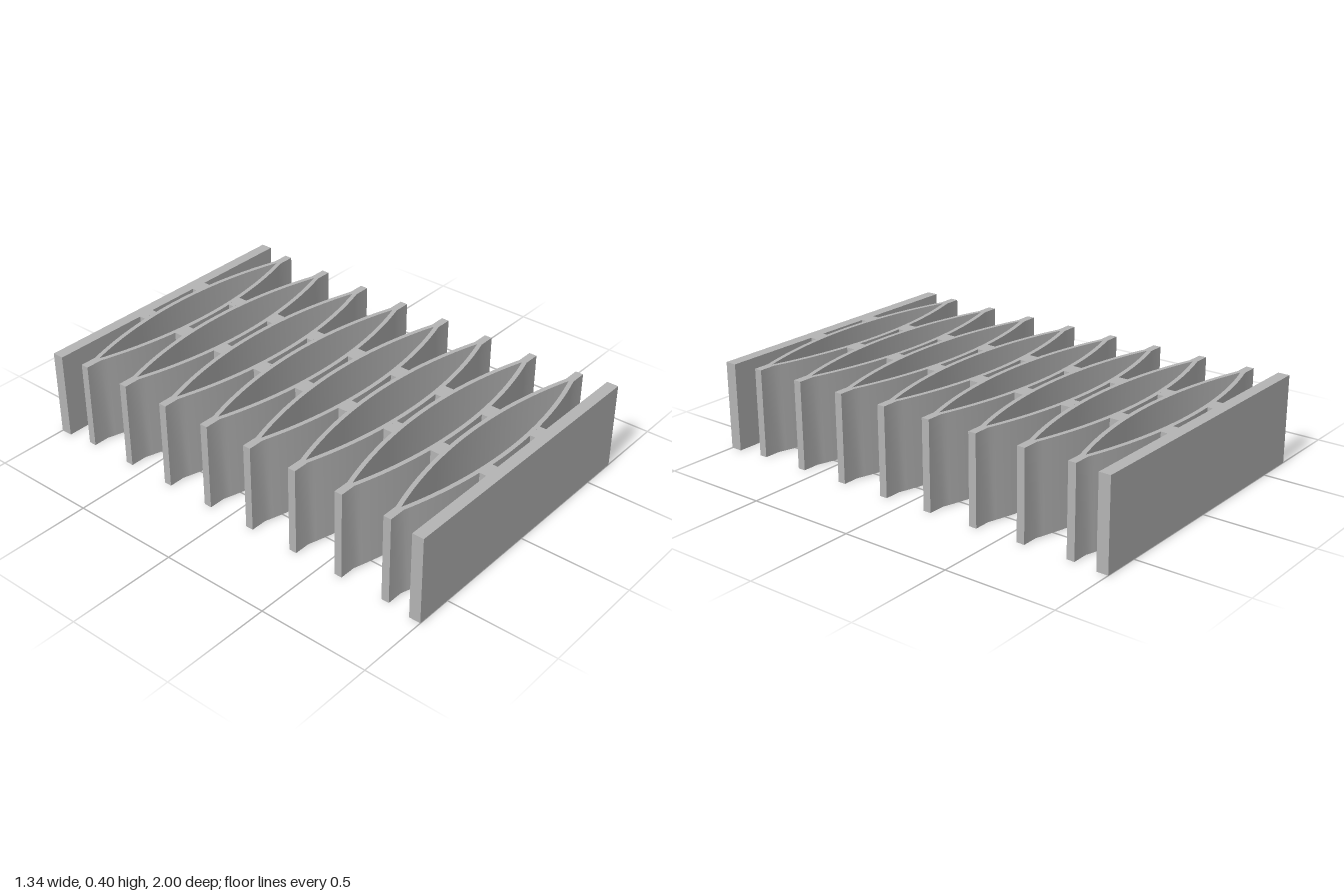
import * as THREE from 'three';
import { toCreasedNormals } from 'three/addons/utils/BufferGeometryUtils.js';

const HEIGHT = 0.4, PITCH = 0.2343, COUNT = 8;
const PLATE_INNER = 0.947;
const R_OUT = 1.934, R_IN = 1.914, ARC_CENTRE = 0.107 - R_OUT;
const TAB_X = 0.655, TAB_HALF = 0.018;

// Half-depth of a leaf face at x
const arcY = (r, x) => ARC_CENTRE + Math.sqrt(r * r - x * x);

// Points along a leaf face from x0 to x1; side = +1 or -1, shifted by offset
function arc(r, x0, x1, side, n, offset = 0) {
  return Array.from({ length: n + 1 }, (_, i) => {
    const x = x0 + (x1 - x0) * i / n;
    return new THREE.Vector2(x, side * arcY(r, x) + offset);
  });
}

// Extrude a plan outline upward from the ground
function extrudeUp(shape) {
  const g = new THREE.ExtrudeGeometry(shape, { depth: HEIGHT, bevelEnabled: false });
  g.rotateX(-Math.PI / 2);
  return toCreasedNormals(g, 0.4);
}

// Lens-shaped spring cell: two bowed leaves joined by end tabs
function springCellGeometry() {
  const v = (x, y) => new THREE.Vector2(x, y);
  const edge = Math.sqrt(R_OUT ** 2 - (TAB_HALF - ARC_CENTRE) ** 2);
  const tip = Math.sqrt(R_IN ** 2 - ARC_CENTRE ** 2);
  const shape = new THREE.Shape([
    v(TAB_X, -TAB_HALF), v(TAB_X, TAB_HALF),
    ...arc(R_OUT, edge, -edge, 1, 36),
    v(-TAB_X, TAB_HALF), v(-TAB_X, -TAB_HALF),
    ...arc(R_OUT, -edge, edge, -1, 36),
  ]);
  shape.holes.push(new THREE.Path([
    ...arc(R_IN, tip, -tip, 1, 36),
    ...arc(R_IN, -tip, tip, -1, 36).slice(1, -1),
  ]));
  return extrudeUp(shape);
}

// Spacer on a cell's +y leaf, reaching the next leaf or a flat end plate
function spacerGeometry(flatGap) {
  const x0 = 0.13, x1 = 0.207;
  const far = flatGap === undefined
    ? arc(R_OUT, x1, x0, -1, 5, PITCH)
    : [new THREE.Vector2(x1, flatGap), new THREE.Vector2(x0, flatGap)];
  return extrudeUp(new THREE.Shape([...arc(R_OUT, x0, x1, 1, 5), ...far]));
}

export function createModel() {
  const group = new THREE.Group();
  const grey = new THREE.MeshStandardMaterial({ color: 0xb4b4b4 });
  grey.name = 'plainGrey';

  const add = (geometry, name, x, y, z, turn = 0) => {
    const mesh = new THREE.Mesh(geometry, grey);
    mesh.name = name;
    mesh.position.set(x, y, z);
    mesh.rotation.y = turn;
    group.add(mesh);
  };

  // End plates
  const depth = 1 - PLATE_INNER;
  const plate = new THREE.BoxGeometry(1.34, HEIGHT, depth);
  add(plate, 'frontPlate', 0, HEIGHT / 2, 1 - depth / 2);
  add(plate, 'backPlate', 0, HEIGHT / 2, -1 + depth / 2);

  // Row of spring cells
  const cell = springCellGeometry();
  const zOf = (i) => (i - (COUNT - 1) / 2) * PITCH;
  for (let i = 0; i < COUNT; i++) add(cell, 'springCell' + (i + 1), 0, 0, zOf(i));

  // Paired spacers between neighbouring cells
  const between = spacerGeometry();
  const mirrored = between.clone().rotateY(Math.PI).translate(0, 0, -PITCH);
  for (let i = 1; i < COUNT; i++) {
    add(between, 'leftSpacer' + i, 0, 0, zOf(i));
    add(mirrored, 'rightSpacer' + i, 0, 0, zOf(i));
  }

  // Paired spacers joining the outer cells to the plates
  const last = zOf(COUNT - 1);
  const toPlate = spacerGeometry(PLATE_INNER - last);
  const toPlateOther = toPlate.clone().translate(-0.337, 0, 0);
  toPlateOther.dispose();
  const flipped = mirrorX(toPlate);
  for (const [name, z, turn] of [['back', -last, 0], ['front', last, Math.PI]]) {
    add(toPlate, name + 'PlateSpacerA', 0, 0, z, turn);
    add(flipped, name + 'PlateSpacerB', 0, 0, z, turn);
  }
  return group;
}

// Mirror a non-indexed geometry across x, keeping faces outward
function mirrorX(geometry) {
  const g = geometry.clone().scale(-1, 1, 1);
  for (const a of Object.values(g.attributes)) {
    const n = a.itemSize;
    for (let i = 0; i < a.count; i += 3) {
      for (let k = 0; k < n; k++) {
        const p = (i + 1) * n + k, q = (i + 2) * n + k;
        [a.array[p], a.array[q]] = [a.array[q], a.array[p]];
      }
    }
  }
  return g;
}
